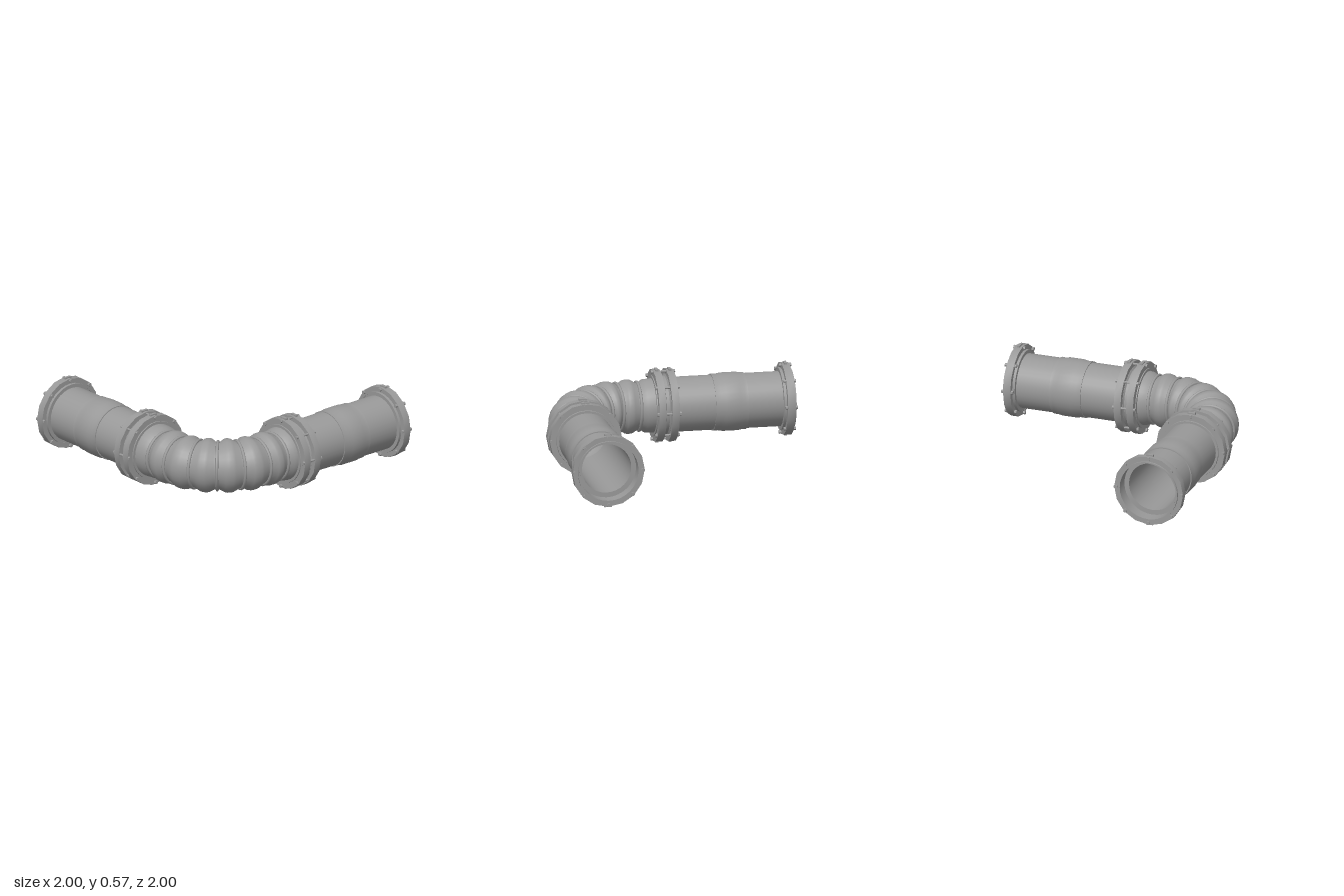
import * as THREE from 'three';
import { toCreasedNormals } from 'three/addons/utils/BufferGeometryUtils.js';

const AXIS_Y = 0.283;   // height of the pipe axis
const OFFSET = 0.724;   // distance of each arm's axis from the centre
const BEND = 0.457;     // radius of the elbow's centre line
const STRAIGHT = 0.207; // straight run before and after the bend
const LENGTH = 2 * STRAIGHT + BEND * Math.PI / 2;
const FIRST = 0.079;    // distance of the first groove along the elbow
const PITCH = 0.157;    // spacing of the elbow's grooves
const BORE = 0.188;

const grey = new THREE.MeshStandardMaterial({ color: 0x999999 });

function mesh(name, geometry) {
  const m = new THREE.Mesh(geometry, grey);
  m.name = name;
  return m;
}

// Revolves [x, radius] points around the x axis; outer points run towards +x
function turned(name, points, sides) {
  const g = new THREE.LatheGeometry(points.map(([x, r]) => new THREE.Vector2(r, x)), sides);
  return mesh(name, toCreasedNormals(g.rotateZ(-Math.PI / 2), 0.6));
}

// Closed flange ring with a square rim
function flange(name, x0, x1, inner) {
  return turned(name, [[x0, inner], [x0, 0.275], [x1, 0.275], [x1, inner], [x0, inner]], 16);
}

// Eight bolts with heads; the top and bottom ones carry a lug on each rim
function boltCircle(name, x0, x1, lugs) {
  const circle = new THREE.Group();
  circle.name = name;
  for (let i = 0; i < 8; i++) {
    const bolt = new THREE.Group();
    bolt.name = 'bolt';
    const rod = (part, r, length, x, sides) => {
      const g = new THREE.CylinderGeometry(r, r, length, sides).rotateZ(Math.PI / 2);
      const m = mesh(part, toCreasedNormals(g, 0.8));
      m.position.set(x, 0.26, 0);
      bolt.add(m);
    };
    rod('boltShaft', 0.009, x1 - x0, (x0 + x1) / 2, 8);
    rod('boltHead', 0.014, 0.016, x0 + 0.008, 6);
    rod('boltNut', 0.014, 0.016, x1 - 0.008, 6);
    if (i % 4 === 0) {
      for (const x of lugs) {
        const lug = mesh('boltLug', new THREE.BoxGeometry(0.022, 0.022, 0.058));
        lug.position.set(x, 0.272, 0);
        bolt.add(lug);
      }
    }
    bolt.rotation.x = i * Math.PI / 4;
    circle.add(bolt);
  }
  return circle;
}

// One straight arm running along +x
function pipeArm(name) {
  const arm = new THREE.Group();
  arm.name = name;
  arm.add(
    // Hollow pipe with a recessed mouth at its far end
    turned('pipe', [
      [-0.06, BORE], [-0.06, 0.2], [0.1, 0.207], [0.905, 0.207], [0.905, 0.235],
      [0.998, 0.235], [0.998, 0.225], [0.9, 0.225], [0.9, BORE], [-0.06, BORE],
    ], 32),
    // Swollen sleeve at mid length with a band at each end
    turned('sleeve', [
      [0.39, 0.2], [0.39, 0.214], [0.43, 0.213], [0.47, 0.22], [0.58, 0.22],
      [0.615, 0.213], [0.64, 0.215], [0.64, 0.2],
    ], 32),
    turned('jointCore', [
      [-0.062, 0.19], [-0.062, 0.225], [-0.005, 0.235], [0.004, 0.235], [0.012, 0.22],
      [0.036, 0.22], [0.044, 0.235], [0.05, 0.235], [0.11, 0.225], [0.11, 0.2],
    ], 32),
    flange('elbowFlange', -0.055, 0, 0.2),
    flange('pipeFlange', 0.045, 0.1, 0.2),
    flange('endFlange', 0.925, 0.983, 0.23),
    boltCircle('jointBolts', -0.07, 0.115, [-0.028, 0.073]),
    boltCircle('endBolts', 0.907, 1, [0.954]),
  );
  return arm;
}

// Point and directions on the elbow's centre line at distance s
function elbowAt(s) {
  const a = THREE.MathUtils.clamp((s - STRAIGHT) / BEND, 0, Math.PI / 2);
  const run = s - STRAIGHT - a * BEND;
  const c = STRAIGHT + 0.06;
  const tangent = new THREE.Vector3(-Math.cos(a), 0, -Math.sin(a));
  const side = new THREE.Vector3(-Math.sin(a), 0, Math.cos(a));
  const point = new THREE.Vector3(-c, AXIS_Y, c)
    .addScaledVector(side, BEND).addScaledVector(tangent, run);
  return { point, tangent, side };
}

// Sweeps circular sections [distance, radius] along the elbow
function sweep(sections, sides) {
  const positions = [], index = [];
  sections.forEach(([s, r], i) => {
    const { point, side } = elbowAt(s);
    for (let j = 0; j < sides; j++) {
      const a = j / sides * Math.PI * 2;
      const p = point.clone().addScaledVector(side, r * Math.cos(a));
      positions.push(p.x, p.y + r * Math.sin(a), p.z);
      if (i === 0) continue;
      const k = (j + 1) % sides, b = (i - 1) * sides, t = i * sides;
      index.push(b + j, b + k, t + j, b + k, t + k, t + j);
    }
  });
  const g = new THREE.BufferGeometry();
  g.setAttribute('position', new THREE.Float32BufferAttribute(positions, 3));
  g.setIndex(index);
  return toCreasedNormals(g, 0.7);
}

// Corrugated elbow with a thin ring in each groove
function elbow() {
  const group = new THREE.Group();
  group.name = 'elbow';
  const rib = [[0, 0.177], [0.12, 0.18], [0.32, 0.2], [0.42, 0.204], [0.58, 0.204], [0.68, 0.2], [0.88, 0.18]];
  const last = FIRST + 6 * PITCH;
  const outer = [[0, 0.205], [FIRST - 0.045, 0.2], [FIRST - 0.02, 0.185]];
  for (let k = 0; k < 6; k++) {
    for (const [t, r] of rib) outer.push([FIRST + (k + t) * PITCH, r]);
  }
  outer.push([last, 0.177], [last + 0.02, 0.185], [last + 0.045, 0.2], [LENGTH, 0.205]);

  // The inside follows the ribs; running it backwards turns its faces inwards
  const inner = outer.map(([s, r]) => [s, r - 0.012]).reverse();
  group.add(mesh('corrugatedWall', sweep(outer, 32)), mesh('innerWall', sweep(inner, 32)));

  for (let k = 0; k < 7; k++) {
    const { point, tangent } = elbowAt(FIRST + k * PITCH);
    const ring = mesh('grooveRing', new THREE.TorusGeometry(0.182, 0.012, 8, 32));
    ring.position.copy(point);
    ring.rotation.y = Math.atan2(tangent.x, tangent.z);
    group.add(ring);
  }
  return group;
}

export function createModel() {
  const model = new THREE.Group();
  model.name = 'pipeBend';
  const sideArm = pipeArm('sideArm');
  sideArm.position.set(0, AXIS_Y, OFFSET);
  const backArm = pipeArm('backArm');
  backArm.rotation.y = Math.PI / 2;
  backArm.position.set(-OFFSET, AXIS_Y, 0);
  model.add(sideArm, backArm, elbow());
  return model;
}
